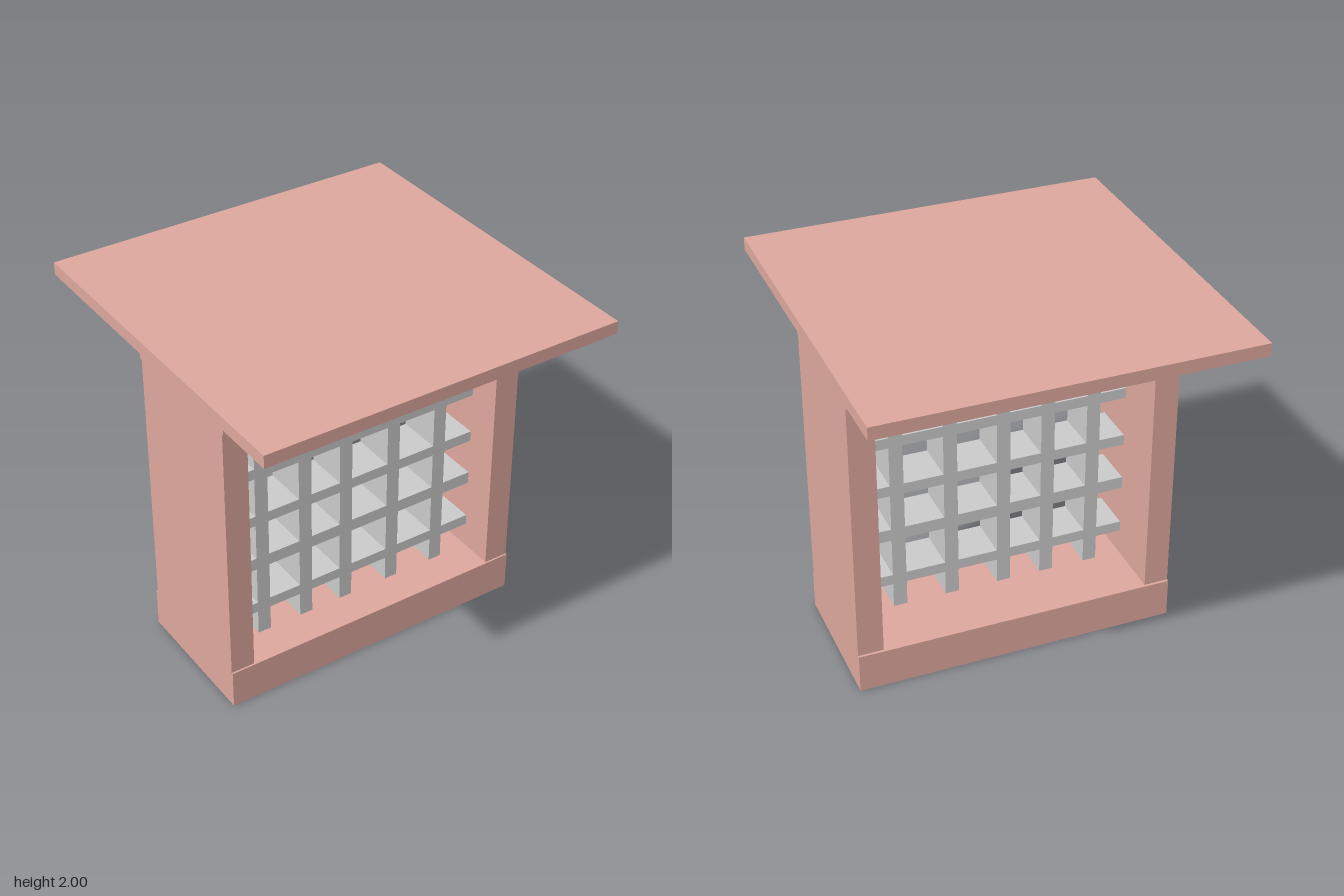
import * as THREE from 'three';

export function createModel() {
  const model = new THREE.Group();
  const frame = new THREE.MeshStandardMaterial({ color: 0xdea89e });
  const grey = new THREE.MeshStandardMaterial({ color: 0xcccccc });

  // Box given by its lower and upper limits on each axis
  function slab(name, material, [x0, x1], [y0, y1], [z0, z1], parent = model) {
    const mesh = new THREE.Mesh(new THREE.BoxGeometry(x1 - x0, y1 - y0, z1 - z0), material);
    mesh.position.set((x0 + x1) / 2, (y0 + y1) / 2, (z0 + z1) / 2);
    mesh.name = name;
    parent.add(mesh);
  }

  // Frame: base, lintel, two side walls and the wide flat roof
  const width = [-0.865, 0.905], beamDepth = [-0.38, 0.415], wallDepth = [-0.365, 0.405];
  slab('base', frame, width, [0, 0.22], beamDepth);
  slab('lintel', frame, width, [1.71, 1.93], beamDepth);
  slab('rightWall', frame, [-0.865, -0.73], [0.22, 1.71], wallDepth);
  slab('leftWall', frame, [0.765, 0.905], [0.22, 1.71], wallDepth);
  slab('roof', frame, [-1, 1], [1.93, 2], [-1, 1]);

  // Lattice of deep slats filling the opening
  const lattice = new THREE.Group();
  lattice.name = 'lattice';
  model.add(lattice);
  const latticeDepth = [-0.035, 0.215];
  for (const x of [-0.547, -0.287, -0.037, 0.26, 0.555])
    slab('verticalSlat', grey, [x - 0.038, x + 0.038], [0.22, 1.71], latticeDepth, lattice);
  for (const [y, h] of [[0.395, 0.06], [0.683, 0.07], [0.958, 0.06], [1.25, 0.06], [1.523, 0.05]])
    slab('horizontalSlat', grey, [-0.73, 0.765], [y - h / 2, y + h / 2], latticeDepth, lattice);

  return model;
}
